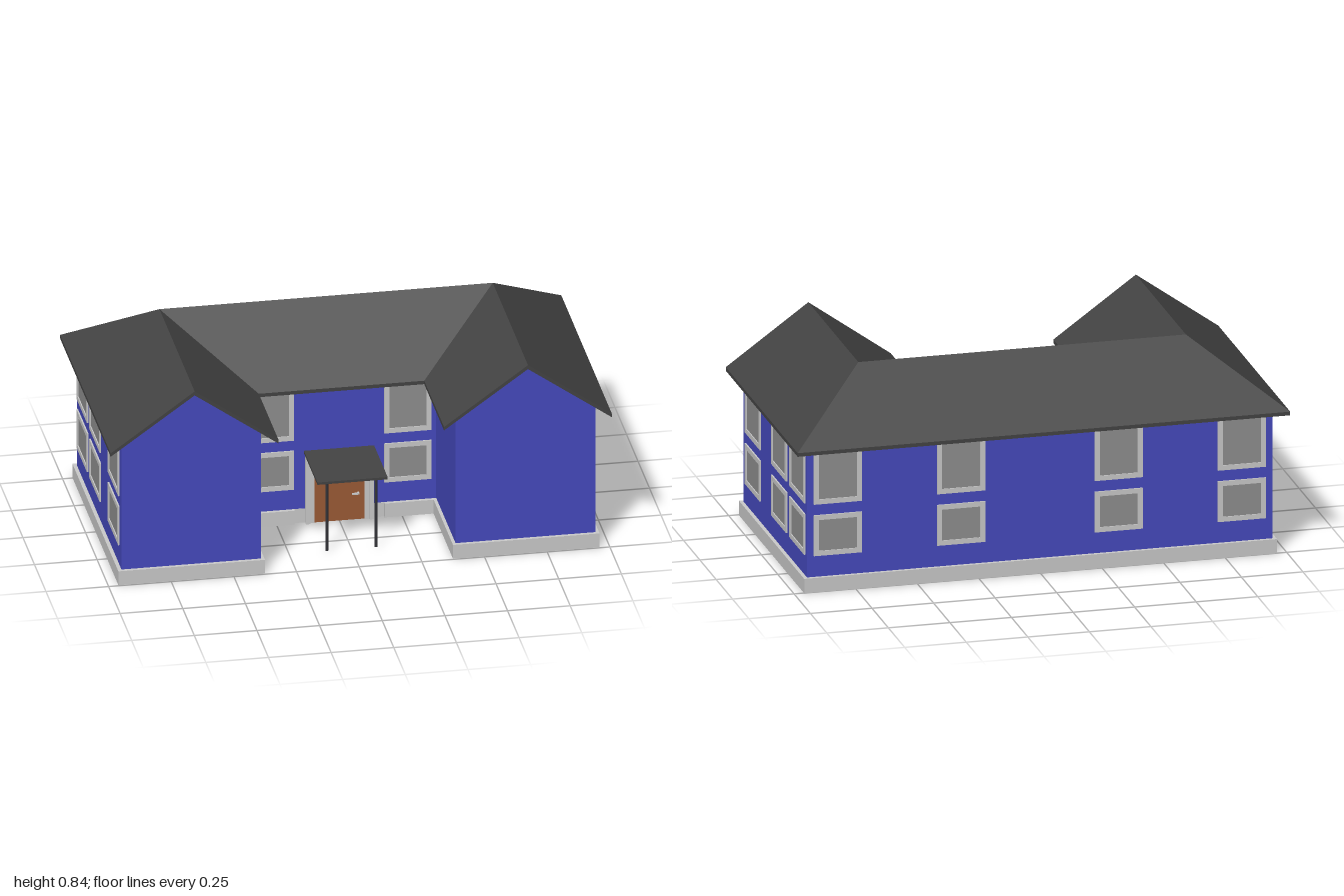
import * as THREE from 'three';

const mat = (color, side = THREE.FrontSide) =>
  new THREE.MeshStandardMaterial({ color, side, flatShading: true });
const grey = mat(0xcccccc);
const glassMat = mat(0x909090);
const wallMat = mat(0x464abf, THREE.DoubleSide);
const roofMat = mat(0x444444, THREE.DoubleSide);
const darkMat = mat(0x333338);
const doorMat = mat(0x9c5b36);

function add(parent, name, geometry, material, x = 0, y = 0, z = 0) {
  const mesh = new THREE.Mesh(geometry, material);
  mesh.name = name;
  mesh.position.set(x, y, z);
  parent.add(mesh);
  return mesh;
}

const shapeOf = (points) => new THREE.Shape(points.map(([x, y]) => new THREE.Vector2(x, y)));
const box = (w, h, d) => new THREE.BoxGeometry(w, h, d);

// Window facing +z, centred on its own origin: raised frame and set-back pane
function makeWindow(w, h) {
  const g = new THREE.Group();
  g.name = 'window';
  const rect = (a, b) => [[-a, -b], [a, -b], [a, b], [-a, b]];
  const shape = shapeOf(rect(w / 2, h / 2));
  shape.holes.push(shapeOf(rect(w / 2 - 0.02, h / 2 - 0.02)));
  const frame = new THREE.ExtrudeGeometry(shape, { depth: 0.012, bevelEnabled: false });
  add(g, 'windowFrame', frame, grey, 0, 0, -0.006);
  add(g, 'windowPane', box(w - 0.04, h - 0.04, 0.004), glassMat);
  return g;
}

// Upper and lower windows at one place on a wall
function windowColumn(parent, x, z, w, turn) {
  for (const [bottom, top] of [[0.36, 0.588], [0.147, 0.315]]) {
    const win = makeWindow(w, top - bottom);
    win.position.set(x, (bottom + top) / 2, z);
    win.rotation.y = turn;
    parent.add(win);
  }
}

// Roof: a gable section swept round the U with mitred corners
function makeRoof() {
  const section = [[-0.335, 0.6], [0, 0.84], [0.335, 0.6], [0.335, 0.585], [0, 0.823], [-0.335, 0.585]];
  const stations = [[-1, true], [-1, false], [1, false], [1, true]];
  const positions = [];
  for (const [s, front] of stations)
    for (const [d, y] of section)
      positions.push(s * (0.665 + d), y, front ? 0.545 : -0.22 - d);
  const n = section.length;
  const index = [];
  for (let i = 0; i < 3; i++)
    for (let j = 0; j < n; j++) {
      const a = i * n + j, b = i * n + (j + 1) % n;
      index.push(a, b, b + n, a, b + n, a + n);
    }
  for (const o of [0, 3 * n]) // front verges
    index.push(o, o + 1, o + 4, o, o + 4, o + 5, o + 1, o + 2, o + 3, o + 1, o + 3, o + 4);
  const geo = new THREE.BufferGeometry();
  geo.setAttribute('position', new THREE.Float32BufferAttribute(positions, 3));
  geo.setIndex(index);
  const flat = geo.toNonIndexed();
  flat.computeVertexNormals();
  return flat;
}

export function createModel() {
  const house = new THREE.Group();
  house.name = 'house';

  // Foundation ring, open at the doorway
  const half = [
    [0.12, 0.062], [0.18, 0.062], [0.18, 0.075], [0.375, 0.075], [0.375, 0.495], [0.96, 0.495], [0.96, -0.505],
  ];
  const innerHalf = [[0.93, -0.475], [0.93, 0.465], [0.405, 0.465], [0.405, 0.045], [0.12, 0.045]];
  const mirror = (pts) => pts.map(([x, z]) => [-x, z]).reverse();
  const ring = [...half, ...mirror(half), ...mirror(innerHalf).map((p) => p), ...innerHalf];
  const foundation = new THREE.ExtrudeGeometry(shapeOf(ring.map(([x, z]) => [x, -z])), {
    depth: 0.06, bevelEnabled: false,
  });
  foundation.rotateX(-Math.PI / 2);
  add(house, 'foundation', foundation, grey);

  // Walls: thin shells
  const walls = new THREE.Group();
  walls.name = 'walls';
  house.add(walls);
  const base = 0.06, top = 0.622, h = top - base, mid = (top + base) / 2;
  const plane = (name, w, x, z, turn) => {
    add(walls, name, new THREE.PlaneGeometry(w, h), wallMat, x, mid, z).rotation.y = turn;
  };
  plane('backWall', 1.89, 0, -0.49, Math.PI);
  plane('courtyardWall', 0.78, 0, 0.06, 0);
  for (const s of [1, -1]) {
    plane('outerWall', 0.97, s * 0.945, -0.005, s * Math.PI / 2);
    plane('innerWall', 0.42, s * 0.388, 0.27, -s * Math.PI / 2);
    const gable = shapeOf([[-0.279, base], [0.279, base], [0.279, top], [0, 0.823], [-0.279, top]]);
    add(walls, 'gableWall', new THREE.ShapeGeometry(gable), wallMat, s * 0.6665, 0, 0.48);
  }

  // Windows
  for (const s of [1, -1]) {
    for (const z of [0.325, -0.075, -0.353]) windowColumn(house, s * 0.945, z, 0.23, s * Math.PI / 2);
    for (const x of [0.32, 0.82]) windowColumn(house, s * x, -0.49, 0.195, Math.PI);
    windowColumn(house, s * 0.274, 0.06, 0.188, 0);
  }

  add(house, 'roof', makeRoof(), roofMat);

  // Door with stepped surround
  const entrance = new THREE.Group();
  entrance.name = 'entrance';
  entrance.position.z = 0.06;
  house.add(entrance);
  add(entrance, 'door', box(0.2, 0.28, 0.02), doorMat, 0, 0.14, 0);
  add(entrance, 'doorLintel', box(0.27, 0.02, 0.04), grey, 0, 0.29, 0);
  for (const s of [1, -1]) {
    add(entrance, 'doorJamb', box(0.02, 0.28, 0.03), grey, s * 0.11, 0.14, 0);
    add(entrance, 'doorTrim', box(0.016, 0.28, 0.045), grey, s * 0.127, 0.14, 0);
  }
  add(entrance, 'doorHandle', box(0.03, 0.007, 0.006), grey, 0.063, 0.115, 0.02);
  add(entrance, 'handleStem', box(0.007, 0.007, 0.012), grey, 0.074, 0.115, 0.014);

  // Porch canopy on two posts
  add(house, 'canopy', box(0.28, 0.01, 0.295), roofMat, 0, 0.305, 0.2075);
  for (const s of [1, -1])
    add(house, 'canopyPost', new THREE.CylinderGeometry(0.006, 0.006, 0.3, 12), darkMat, s * 0.098, 0.15, 0.33);

  return house;
}
